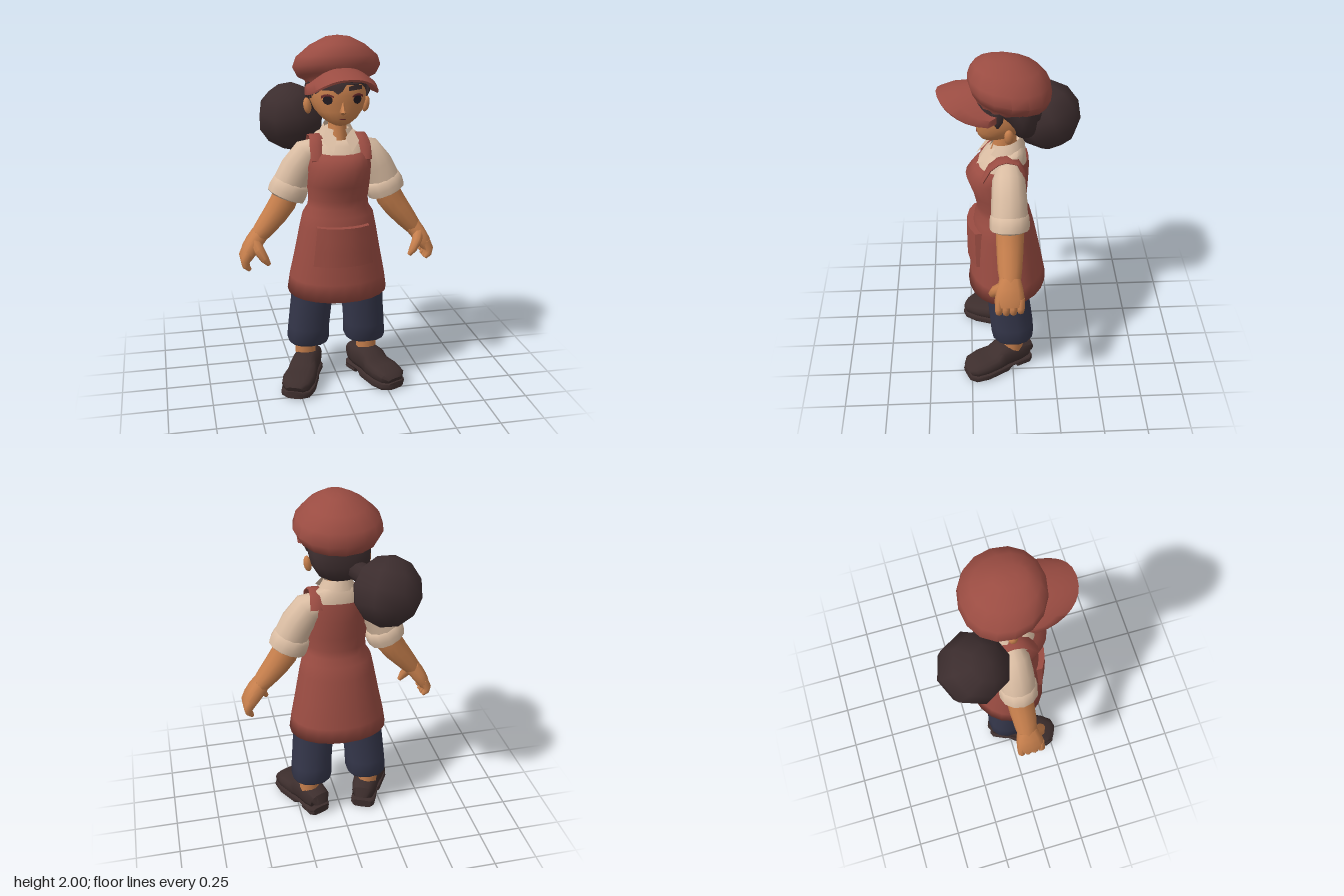
import * as THREE from 'three';
import { toCreasedNormals } from 'three/addons/utils/BufferGeometryUtils.js';

const mat = (name, color, side = THREE.FrontSide) => {
  const m = new THREE.MeshStandardMaterial({ color, side });
  m.name = name;
  return m;
};

// Smooth surface through a list of point rings, optionally capped
function skin(rings, caps = true, crease = 0.9) {
  const n = rings[0].length, pos = [], idx = [];
  rings.forEach(r => r.forEach(p => pos.push(p.x, p.y, p.z)));
  for (let i = 0; i < rings.length - 1; i++) for (let j = 0; j < n; j++) {
    const a = i * n + j, b = i * n + (j + 1) % n;
    idx.push(a, b, b + n, a, b + n, a + n);
  }
  if (caps) [0, rings.length - 1].forEach((r, end) => {
    const c = new THREE.Vector3();
    rings[r].forEach(p => c.addScaledVector(p, 1 / n));
    const k = pos.length / 3;
    pos.push(c.x, c.y, c.z);
    for (let j = 0; j < n; j++) {
      const a = r * n + j, b = r * n + (j + 1) % n;
      idx.push(k, end ? a : b, end ? b : a);
    }
  });
  return finish(pos, idx, crease);
}

function finish(pos, idx, crease) {
  const g = new THREE.BufferGeometry();
  g.setAttribute('position', new THREE.Float32BufferAttribute(pos, 3));
  g.setIndex(idx);
  return toCreasedNormals(g, crease);
}

const power = (v, e) => Math.sign(v) * Math.abs(v) ** (2 / e);

// Upright loft; rows are [y, half width, front z, back z, centre x, tilt]
function loft(rows, n = 16, e = 2, caps = true, crease = 0.9) {
  return skin(rows.map(([y, rx, zf, zb, cx = 0, tilt = 0]) => Array.from({ length: n }, (_, j) => {
    const a = j / n * Math.PI * 2;
    const z = (zf + zb) / 2 + (zf - zb) / 2 * power(Math.cos(a), e);
    return new THREE.Vector3(cx + rx * power(Math.sin(a), e), y + tilt * z, z);
  })), caps, crease);
}

// Loft along a path; points are [x, y, z, cross radius, radius along ref]
function limb(pts, n = 10, ref = [0, 0, 1], e = 2, s = 1) {
  const P = pts.map(p => new THREE.Vector3(p[0] * s, p[1], p[2]));
  return skin(P.map((p, i) => {
    const D = P[Math.min(i + 1, P.length - 1)].clone().sub(P[Math.max(i - 1, 0)]).normalize();
    const V = new THREE.Vector3(...ref);
    V.addScaledVector(D, -V.dot(D)).normalize();
    const U = D.clone().cross(V);
    return Array.from({ length: n }, (_, j) => {
      const a = j / n * Math.PI * 2;
      return p.clone().addScaledVector(U, pts[i][3] * power(Math.sin(a), e))
        .addScaledVector(V, pts[i][4] * power(Math.cos(a), e));
    });
  }));
}

// Raised patch on the front of a mesh; columns are [x, top y, bottom y, bottom x]
function patch(target, cols, offTop, offBottom = offTop) {
  const ray = new THREE.Raycaster(), pos = [], idx = [];
  const C = [cols[0], ...cols, cols[cols.length - 1]], T = [0, 0, 0.33, 0.67, 1, 1];
  C.forEach(([xt, t, b, xb = xt], i) => T.forEach((f, j) => {
    const x = xt + (xb - xt) * f, y = t + (b - t) * f;
    ray.set(new THREE.Vector3(x, y, 2), new THREE.Vector3(0, 0, -1));
    const hit = ray.intersectObject(target)[0];
    const rim = i === 0 || i === C.length - 1 || j === 0 || j === T.length - 1;
    pos.push(x, y, (hit ? hit.point.z : 0) + (rim ? -0.004 : offTop + (offBottom - offTop) * f));
    if (i && j) {
      const k = i * T.length + j, l = k - T.length;
      idx.push(l - 1, l, k, l - 1, k, k - 1);
    }
  }));
  return finish(pos, idx, 0.7);
}

const oval = (cx, cy, rx, ry) => [-0.97, -0.7, 0, 0.7, 0.97].map(t => {
  const h = ry * Math.sqrt(1 - t * t);
  return [cx + rx * t, cy + h, cy - h];
});

export function createModel() {
  const group = new THREE.Group();
  const red = mat('brick red cloth', 0x9a4c42, THREE.DoubleSide);
  const cream = mat('cream cloth', 0xd9bca2, THREE.DoubleSide);
  const tan = mat('skin', 0xc8804d);
  const dark = mat('dark hair', 0x3c2d2e);
  const navy = mat('navy cloth', 0x34364a);
  const leather = mat('dark leather', 0x3d2e2d);
  const eyeDark = mat('eye', 0x241c22);
  const lash = mat('lash', 0x6b2c2a);
  const add = (name, geo, m, parent = group) => {
    const mesh = new THREE.Mesh(geo, m);
    mesh.name = name;
    parent.add(mesh);
    return mesh;
  };

  // Shirt body and apron
  add('shirt', loft([[1.1, .15, .175, -.07], [1.3, .165, .22, -.08], [1.36, .162, .19, -.085],
    [1.42, .15, .155, -.08], [1.465, .128, .125, -.075, 0, -.15], [1.485, .08, .095, -.055, 0, -.45]],
    18, 2.15), cream);
  const apron = add('apron', loft([[.6, .25, .215, -.165, 0, -.06], [.57, .285, .253, -.2, 0, -.06],
    [.66, .272, .241, -.185, 0, -.03], [.8, .243, .234, -.16], [.95, .215, .22, -.13],
    [1.03, .198, .207, -.11], [1.075, .17, .192, -.087], [1.12, .166, .195, -.082], [1.2, .175, .212, -.09],
    [1.305, .178, .248, -.096], [1.36, .172, .205, -.097], [1.405, .164, .178, -.092, 0, -.15]],
    22, 2.1, false, 3), red);
  add('pocket', patch(apron, [-1, -.6, -.2, .2, .6, 1].map(t => [t * .145, .985, .765, t * .168]), .038, .02), red);

  // Collar with two pointed flaps
  const collar = [];
  for (let i = 0; i <= 12; i++) {
    const a = .45 + i / 12 * (Math.PI * 2 - .9), s = Math.sin(a), c = Math.cos(a);
    collar.push([[.105 * s, 1.465 - .02 * c, .025 + .1 * c], [.075 * s, 1.52 - .02 * c, .025 + .078 * c]]);
  }
  const cIdx = [];
  for (let i = 0; i < 12; i++) cIdx.push(2 * i, 2 * i + 2, 2 * i + 3, 2 * i, 2 * i + 3, 2 * i + 1);
  add('collar', finish(collar.flat(2), cIdx, 1), cream);

  // Neck, head and face
  add('neck', loft([[1.4, .058, .115, -.04], [1.45, .056, .112, -.035], [1.53, .05, .086, -.028],
    [1.6, .052, .085, -.03]], 12), tan);
  const head = add('head', loft([[1.532, .03, .145, .07], [1.545, .06, .166, .03], [1.57, .095, .18, -.01],
    [1.61, .13, .188, -.07], [1.66, .15, .19, -.11], [1.7, .155, .195, -.12], [1.76, .155, .185, -.12],
    [1.82, .13, .14, -.1]], 22, 2.25), tan);
  add('nose', loft([[1.598, .012, .196, .15], [1.614, .019, .224, .15], [1.635, .013, .206, .15],
    [1.665, .008, .192, .15]], 8), tan);
  add('mouth', patch(head, oval(0, 1.573, .018, .003), .004), lash);
  for (const s of [1, -1]) {
    add('eye', patch(head, oval(s * .08, 1.677, .024, .025), .005), eyeDark);
    add('upperLash', patch(head, [.05, .065, .08, .095, .112].map((x, i) =>
      [s * x, [1.698, 1.706, 1.709, 1.707, 1.698][i], [1.69, 1.696, 1.699, 1.696, 1.684][i]])
      .sort((p, q) => p[0] - q[0]), .007), lash);
    add('eyebrow', patch(head, [[s * .032, 1.745, 1.724], [s * .075, 1.755, 1.728], [s * .108, 1.747, 1.728]]
      .sort((p, q) => p[0] - q[0]), .006), dark);
    const ear = add('ear', new THREE.SphereGeometry(1, 10, 8), tan);
    ear.scale.set(.022, .045, .025);
    ear.position.set(s * .162, 1.625, .018);
    ear.rotation.z = -s * .15;
    add('sideLock', limb([[.155, 1.76, .075, .012, .035], [.16, 1.71, .075, .012, .026],
      [.153, 1.675, .075, .004, .006]], 8, [0, 0, 1], 2, s), dark);
  }

  // Hair
  add('hair', loft([[1.565, .07, -.03, -.11], [1.59, .12, -.005, -.13], [1.65, .157, .02, -.138],
    [1.7, .167, .075, -.138], [1.735, .168, .12, -.133], [1.755, .168, .19, -.13], [1.8, .16, .19, -.12]], 18, 2.2), dark);
  add('fringe', patch(head, [[-.148, 1.78, 1.69], [-.125, 1.78, 1.715], [-.1, 1.78, 1.745], [-.065, 1.78, 1.735],
    [-.03, 1.78, 1.708], [-.005, 1.78, 1.725], [.015, 1.78, 1.755], [.06, 1.78, 1.76], [.1, 1.78, 1.757],
    [.13, 1.78, 1.73], [.148, 1.78, 1.69]], .01), dark);
  add('ponytailBase', limb([[-.04, 1.64, -.07, .06, .06], [-.11, 1.6, -.13, .055, .055],
    [-.18, 1.56, -.18, .08, .08]], 10, [0, 1, 0]), dark);
  const bun = add('hairBun', new THREE.SphereGeometry(.193, 8, 6), dark);
  bun.position.set(-.217, 1.527, -.205);
  bun.rotation.set(.35, .2, .3);

  // Cap crown and visor
  add('capCrown', loft([[1.735, .165, .19, -.12, 0, .25], [1.765, .18, .2, -.15, 0, .26],
    [1.782, .215, .21, -.19, 0, .22], [1.83, .24, .222, -.212, 0, .18], [1.885, .222, .222, -.2, 0, .12],
    [1.945, .15, .19, -.145, 0, .1], [1.99, .065, .13, -.04, 0, .04], [1.998, .02, .08, .02]], 16, 2.1), red);
  const visor = Array.from({ length: 17 }, (_, i) => {
    const a = (i / 16 - .5) * 2.9, s = power(Math.sin(a), 2.6), c = power(Math.cos(a), 2.6);
    const d = Math.abs(Math.sin(a)) ** 1.8;
    const at = (r, z, y) => new THREE.Vector3(r * s, y, z);
    const oy = 1.812 - .1 * d, oz = .08 + .305 * c - .012 * Math.abs(s);
    const iy = 1.85 - .1 * d, iz = .05 + .15 * c;
    return [at(.175, iz, iy), at(.192, (iz + oz) / 2 + .01, (iy + oy) / 2 + .008), at(.195, oz, oy),
      at(.194, oz - .005, oy - .012), at(.17, iz, iy - .04)];
  });
  add('capVisor', skin(visor), red);

  for (const s of [1, -1]) {
    const L = (pts, n, ref, e) => limb(pts, n, ref, e, s);
    add('collarFlap', finish([s * .024, 1.465, .137, s * .075, 1.505, .085, s * .1, 1.445, .135, s * .05, 1.395, .19],
      [0, 3, 2, 0, 2, 1], .5), cream);
    add('apronStrap', L([[.13, 1.345, .158, .008, .038], [.13, 1.42, .118, .008, .038], [.125, 1.453, .075, .008, .037],
      [.122, 1.465, .03, .008, .037], [.123, 1.45, -.03, .008, .038], [.125, 1.38, -.062, .008, .042]],
      8, [1, 0, 0], 4), red);

    // Sleeve, rolled cuff and arm
    add('sleeve', L([[.1, 1.385, .02, .065, .07], [.165, 1.36, .02, .088, .088], [.225, 1.28, .02, .093, .095],
      [.268, 1.19, .02, .096, .098]], 12), cream);
    add('sleeveCuff', L([[.25, 1.21, .02, .09, .09], [.256, 1.197, .02, .106, .104], [.275, 1.157, .02, .112, .108],
      [.288, 1.128, .02, .108, .106], [.291, 1.12, .02, .085, .085]], 12), cream);
    add('forearm', L([[.27, 1.17, .02, .075, .075], [.305, 1.09, .02, .076, .075], [.35, 1.025, .022, .07, .072],
      [.41, .95, .025, .058, .066], [.455, .895, .025, .046, .056]], 12), tan);
    add('palm', L([[.44, .915, .025, .047, .056], [.475, .868, .028, .045, .072], [.503, .825, .03, .04, .08],
      [.522, .785, .03, .03, .074]], 12, [0, 0, 1], 2.8), tan);
    for (let f = 0; f < 4; f++) {
      const z = -.028 + f * .039, d = [.012, .002, 0, .006][f];
      add('finger', L([[.508, .83, z, .026, .022], [.53, .78, z, .025, .022], [.526, .745 + d, z, .021, .02],
        [.506, .722 + d, z, .011, .013]], 8), tan);
    }
    add('thumb', L([[.472, .885, .06, .032, .032], [.452, .84, .1, .03, .032], [.425, .795, .118, .024, .025],
      [.402, .762, .118, .012, .013]], 8), tan);

    // Trouser leg and ankle
    add('trouserLeg', loft([[.255, .09, .09, -.09, s * .168], [.24, .112, .115, -.117, s * .168],
      [.255, .12, .126, -.125, s * .168], [.34, .117, .132, -.12, s * .164], [.5, .117, .145, -.1, s * .15],
      [.7, .12, .15, -.09, s * .14]], 14, 2.4), navy);
    add('ankle', loft([[.1, .06, .06, -.065, s * .18], [.19, .06, .058, -.065, s * .183],
      [.3, .07, .07, -.07, s * .18]], 12), tan);

    // Shoe, toes turned outward
    const shoe = new THREE.Group();
    shoe.name = 'shoe';
    shoe.position.x = s * .172;
    shoe.rotation.y = s * .42;
    group.add(shoe);
    const up = [0, 1, 0];
    add('shoeUpper', limb([[0, .075, -.1, .045, .035], [0, .095, -.09, .065, .06], [0, .1, -.03, .074, .072],
      [0, .102, .045, .076, .076], [0, .1, .08, .08, .072], [0, .08, .12, .086, .052], [0, .076, .2, .094, .045],
      [0, .068, .27, .082, .038], [0, .055, .298, .05, .022]], 14, up, 2.8), leather, shoe);
    add('shoeSole', limb([[0, .036, -.107, .055, .013], [0, .036, -.085, .073, .013], [0, .036, .03, .076, .013],
      [0, .024, .07, .086, .024], [0, .024, .2, .1, .024], [0, .024, .275, .086, .024],
      [0, .026, .305, .052, .02]], 12, up, 4), leather, shoe);
    add('shoeHeel', limb([[0, .018, -.107, .055, .018], [0, .018, -.085, .073, .018],
      [0, .018, .0, .074, .018]], 12, up, 4), leather, shoe);
  }
  return group;
}
